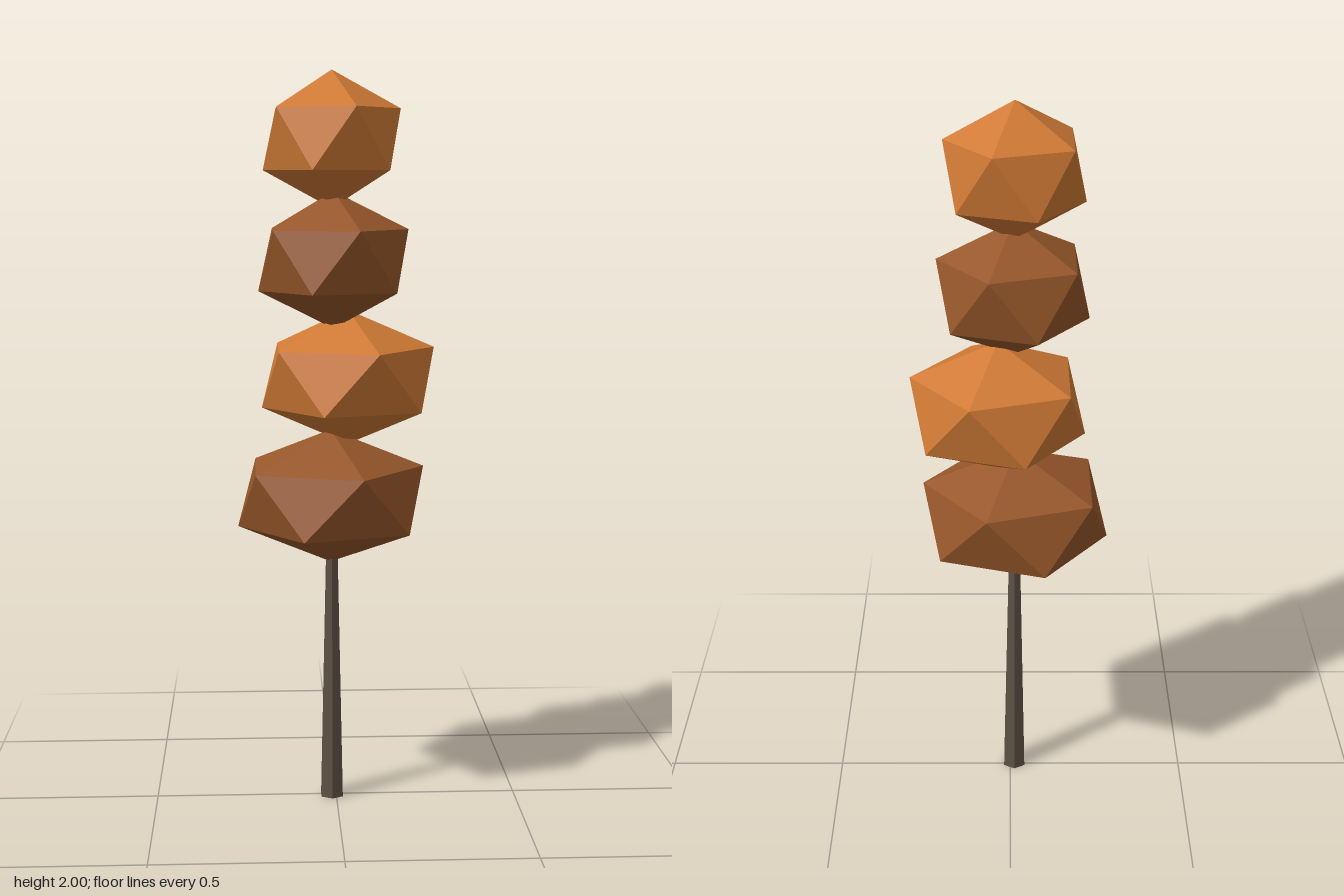
import * as THREE from 'three';

// Icosahedron standing on a corner, with one upper-ring corner facing +x
function clumpGeometry(ringRadius, halfHeight) {
  const g = new THREE.IcosahedronGeometry(1, 0);
  g.rotateX(-Math.atan((1 + Math.sqrt(5)) / 2));
  g.rotateY(Math.PI / 2);
  const across = ringRadius / 0.8944;
  g.scale(across, halfHeight, across);
  g.computeVertexNormals();
  return g;
}

export function createModel() {
  const tree = new THREE.Group();
  tree.name = 'tree';

  const flat = (color) => new THREE.MeshStandardMaterial({ color, flatShading: true });
  const bark = flat(0x5e5145);
  const lightLeaf = flat(0xd07a35);
  const darkLeaf = flat(0x97572a);

  // Tapered six-sided trunk, ending inside the lowest clump
  const trunkHeight = 0.85;
  const trunk = new THREE.Mesh(new THREE.CylinderGeometry(0.0145, 0.0345, trunkHeight, 6), bark);
  trunk.name = 'trunk';
  trunk.position.set(-0.012, trunkHeight / 2, 0.008);
  tree.add(trunk);

  // Stacked foliage, bottom to top: x, y, z, ring radius, half height
  const clumps = [
    [-0.015, 0.853, 0.001, 0.254, 0.184],
    [0.033, 1.178, -0.022, 0.235, 0.184],
    [-0.008, 1.498, 0.012, 0.202, 0.184],
    [-0.012, 1.818, 0.005, 0.184, 0.182],
  ];
  clumps.forEach(([x, y, z, radius, halfHeight], i) => {
    const clump = new THREE.Mesh(clumpGeometry(radius, halfHeight), i % 2 ? lightLeaf : darkLeaf);
    clump.name = `foliageClump${i + 1}`;
    clump.position.set(x, y, z);
    tree.add(clump);
  });

  return tree;
}
